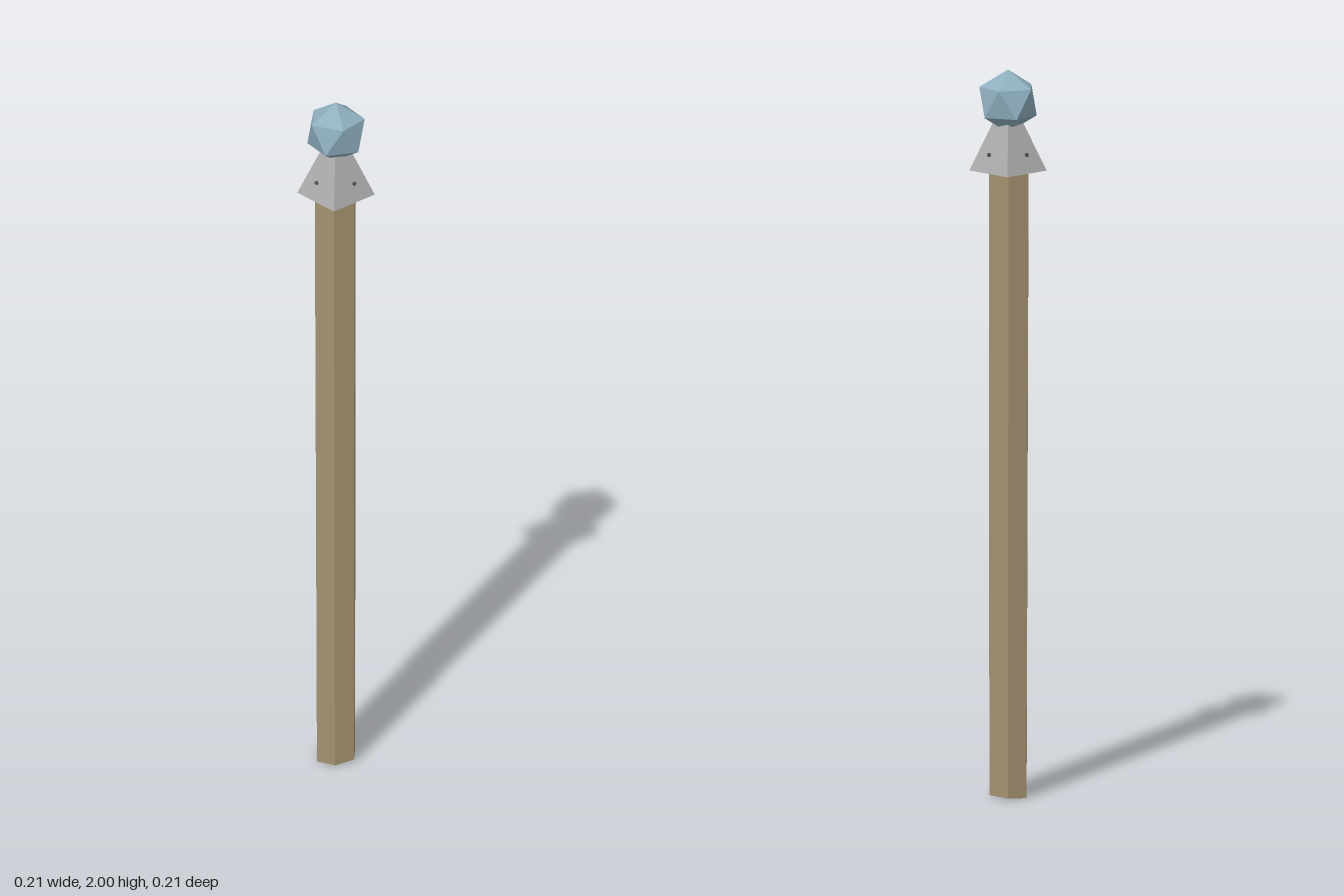
import * as THREE from 'three';

function part(name, geometry, color) {
  const material = new THREE.MeshStandardMaterial({ color, flatShading: true });
  const mesh = new THREE.Mesh(geometry, material);
  mesh.name = name;
  return mesh;
}

export function createModel() {
  const group = new THREE.Group();
  group.name = 'post';

  // Rough-hewn hexagonal shaft: wider at the top, with an uneven foot
  const shaftTop = 1.735;
  const shaftGeo = new THREE.CylinderGeometry(0.062, 0.058, shaftTop, 6);
  shaftGeo.translate(0, shaftTop / 2, 0);
  const p = shaftGeo.attributes.position;
  for (let i = 0; i < p.count; i++) {
    const x = p.getX(i), y = p.getY(i), z = p.getZ(i);
    const t = y / shaftTop;
    p.setX(i, x - 0.002 * t);
    p.setZ(i, z + 0.002 * t);
    if (y < 0.01) p.setY(i, 0.005 + 0.08 * x);
  }
  group.add(part('shaft', shaftGeo, 0xa3926f));

  // Four-sided metal cap, corners on the axes
  const capBase = 1.722, capHeight = 0.215, capRadius = 0.105;
  const cap = part('cap', new THREE.ConeGeometry(capRadius, capHeight, 4), 0xaeaeae);
  cap.position.y = capBase + capHeight / 2;
  group.add(cap);

  // One small nail in each face of the cap
  const nailY = 1.77;
  const reach = capRadius * (1 - (nailY - capBase) / capHeight);
  const up = new THREE.Vector3(0, 1, 0);
  for (const sx of [-1, 1]) {
    for (const sz of [-1, 1]) {
      const nail = part('nail', new THREE.CylinderGeometry(0.006, 0.006, 0.008, 6), 0x5a5148);
      const normal = new THREE.Vector3(sx, capRadius / capHeight, sz).normalize();
      nail.position.set(sx * 0.05, nailY, sz * (reach - 0.05));
      nail.quaternion.setFromUnitVectors(up, normal);
      group.add(nail);
    }
  }

  // Faceted ball standing on one corner
  const ballRadius = 0.087;
  const ballGeo = new THREE.IcosahedronGeometry(ballRadius, 0);
  ballGeo.rotateZ(-Math.atan(2 / (1 + Math.sqrt(5))));
  const ball = part('ball', ballGeo, 0x8fafbf);
  ball.position.y = 2 - ballRadius;
  group.add(ball);

  return group;
}
